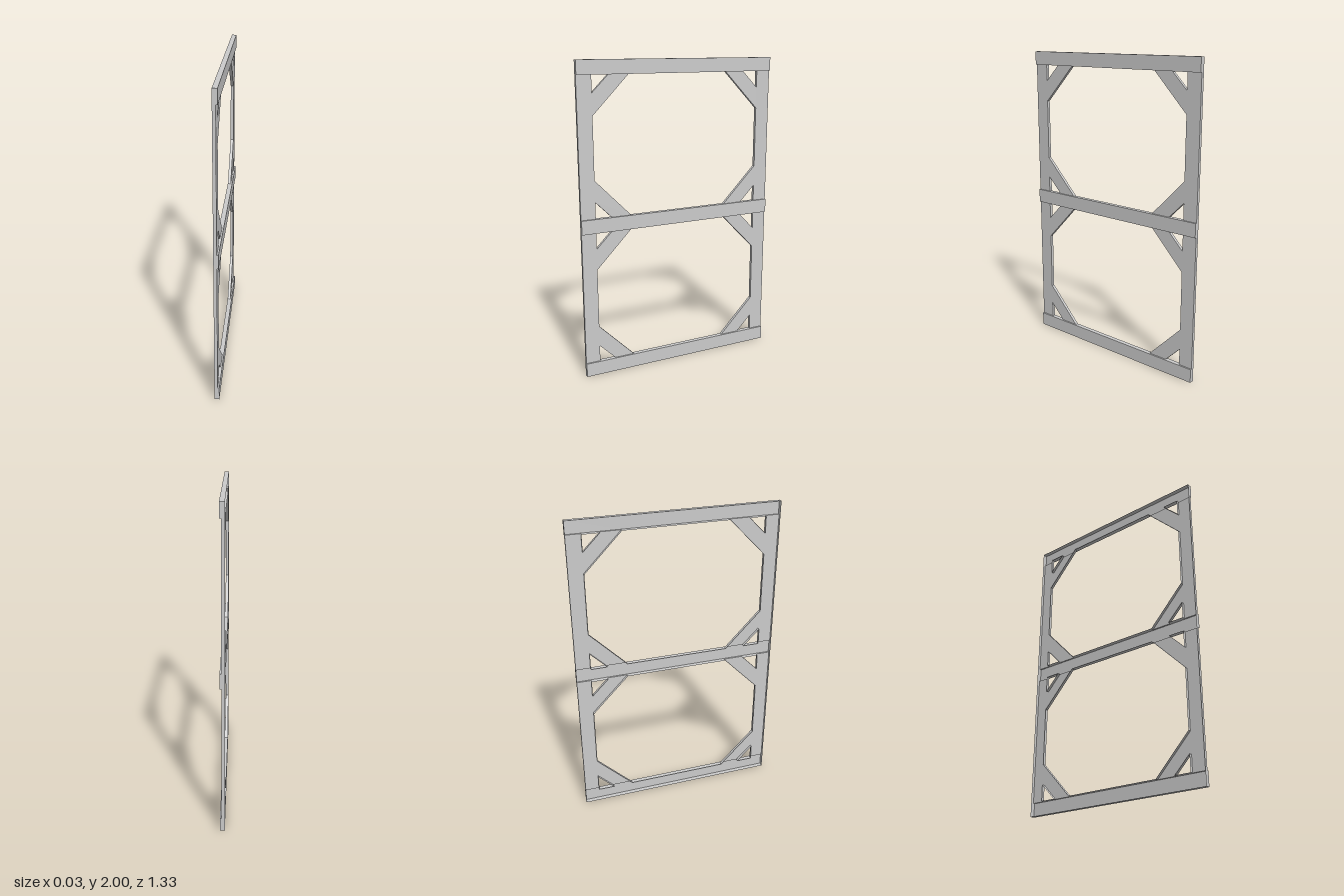
import * as THREE from 'three';
import { mergeGeometries } from 'three/addons/utils/BufferGeometryUtils.js';

const BACK = -0.015, POST_FRONT = 0.005, RAIL_FRONT = 0.015;
const HALF = 0.665, POST_IN = 0.57, BRACE_OUT = 0.465, BRACE_IN = 0.335;
const BRACE_H = 0.24, GAP_H = 0.105;
const RAILS = [['bottomRail', 0, 0.09], ['middleRail', 0.953, 1.043], ['topRail', 1.913, 2]];

const material = new THREE.MeshStandardMaterial({ color: 0xcccccc, side: THREE.DoubleSide });

// Open-backed panel: a flat front plus a wall along each contour edge.
// backOf(p, q) gives how far back the wall reaches, or null for no wall.
function panel(name, points, front, backOf) {
  const pts = points.map(([x, y]) => new THREE.Vector2(x, y));
  if (THREE.ShapeUtils.area(pts) < 0) pts.reverse();
  const parts = [new THREE.ShapeGeometry(new THREE.Shape(pts)).translate(0, 0, front).toNonIndexed()];
  pts.forEach((p, i) => {
    const q = pts[(i + 1) % pts.length];
    const back = backOf(p, q);
    if (back === null) return;
    const a = [p.x, p.y, back], b = [q.x, q.y, back];
    const c = [q.x, q.y, front], d = [p.x, p.y, front];
    const wall = new THREE.BufferGeometry();
    wall.setAttribute('position', new THREE.Float32BufferAttribute([a, b, c, a, c, d].flat(), 3));
    wall.setAttribute('uv', new THREE.Float32BufferAttribute(new Array(12).fill(0), 2));
    wall.computeVertexNormals();
    parts.push(wall);
  });
  const mesh = new THREE.Mesh(mergeGeometries(parts).rotateY(Math.PI / 2), material);
  mesh.name = name;
  return mesh;
}

export function createModel() {
  const group = new THREE.Group();
  group.name = 'bracedFrame';

  // Cross rails, standing slightly proud of the posts
  const stops = [HALF, POST_IN, BRACE_OUT, BRACE_IN];
  const across = [...stops.map(s => -s), ...stops.slice().reverse()];
  for (const [name, y0, y1] of RAILS) {
    const outline = [...across.map(x => [x, y0]), ...across.slice().reverse().map(x => [x, y1])];
    group.add(panel(name, outline, RAIL_FRONT, (p, q) => {
      if (p.y !== q.y || p.y === 0 || p.y === 2) return BACK;
      const mid = Math.abs(p.x + q.x) / 2;
      const meetsPost = mid > POST_IN || (mid > BRACE_IN && mid < BRACE_OUT);
      return meetsPost ? POST_FRONT : BACK;
    }));
  }

  // Posts with diagonal corner braces, one per side of each bay
  for (let bay = 0; bay < 2; bay++) {
    const y0 = RAILS[bay][2], y1 = RAILS[bay + 1][1];
    const outline = [
      [HALF, y0], [HALF, y1], [POST_IN, y1], [POST_IN, y1 - GAP_H],
      [BRACE_OUT, y1], [BRACE_IN, y1], [POST_IN, y1 - BRACE_H],
      [POST_IN, y0 + BRACE_H], [BRACE_IN, y0], [BRACE_OUT, y0],
      [POST_IN, y0 + GAP_H], [POST_IN, y0],
    ];
    for (const s of [-1, 1]) {
      const name = (bay ? 'upper' : 'lower') + (s > 0 ? 'Rear' : 'Front') + 'BracedPost';
      group.add(panel(name, outline.map(([x, y]) => [s * x, y]), POST_FRONT,
        (p, q) => (p.y === q.y ? null : BACK)));
    }
  }
  return group;
}
